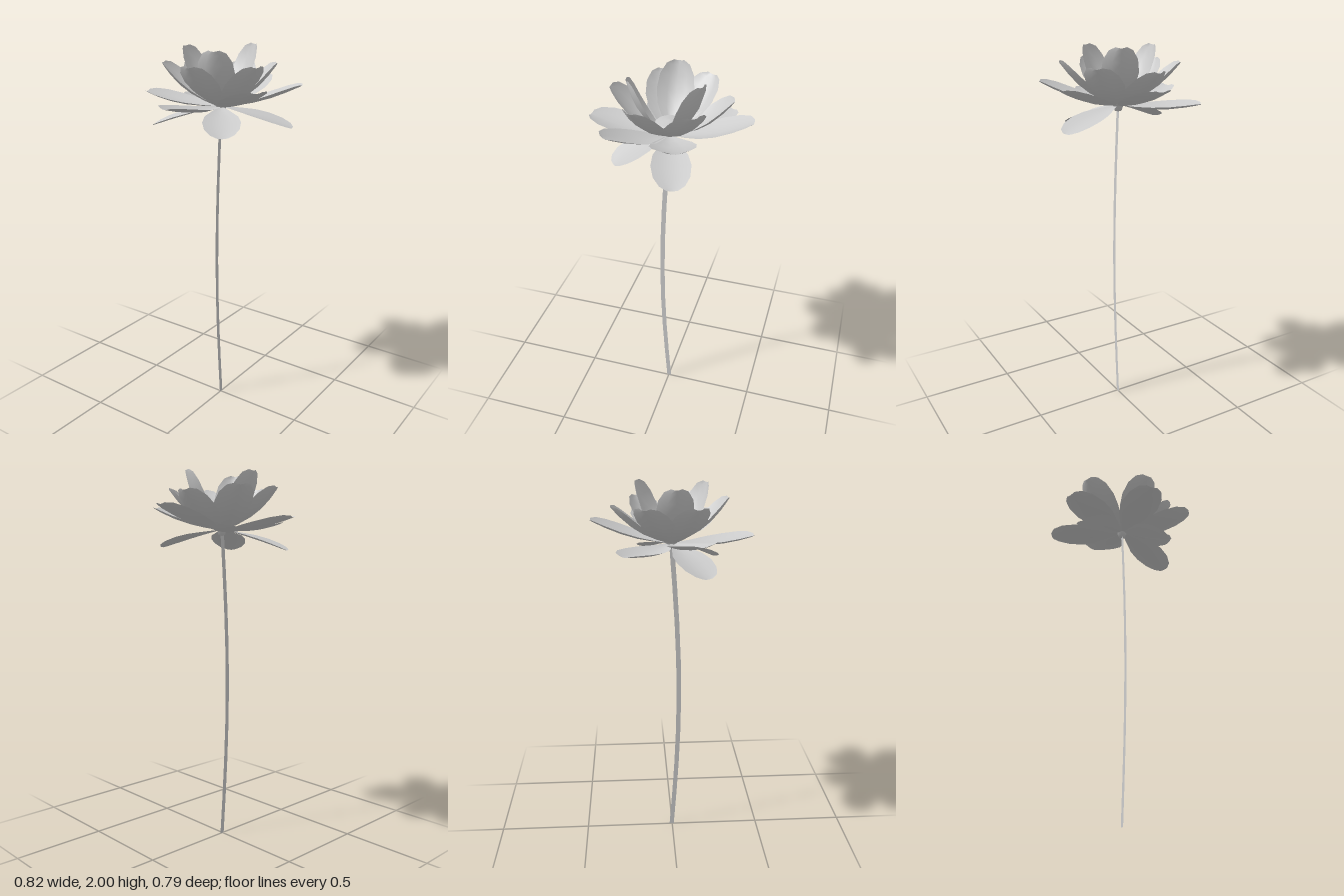
import * as THREE from 'three';

const material = new THREE.MeshStandardMaterial({ color: 0xcccccc, side: THREE.DoubleSide });

// Petal outline: fraction of length, fraction of full half-width
const OUTLINE = [[0, 0.12], [0.2, 0.5], [0.4, 0.87], [0.6, 1], [0.8, 0.9], [0.94, 0.62], [1, 0.28]];
const COLUMNS = 4;

// Cupped petal from the flower base to a tip point; sag bows it outward
function makePetal(name, [x, y, z], halfWidth, sag, cup) {
  const heading = new THREE.Vector3(x, 0, z).normalize();
  const root = heading.clone().multiplyScalar(0.015).setY(1.69);
  const along = new THREE.Vector3(x, y, z).sub(root);
  const side = new THREE.Vector3(heading.z, 0, -heading.x);
  const normal = along.clone().normalize().cross(side).normalize();
  const positions = [], index = [];
  OUTLINE.forEach(([t, w], row) => {
    for (let c = 0; c <= COLUMNS; c++) {
      const s = (c / COLUMNS) * 2 - 1;
      const lift = cup * s * s * w - sag * Math.sin(Math.PI * t);
      const p = root.clone().addScaledVector(along, t)
        .addScaledVector(side, s * w * halfWidth)
        .addScaledVector(normal, lift);
      positions.push(p.x, p.y, p.z);
      if (row && c) {
        const d = row * (COLUMNS + 1) + c, b = d - COLUMNS - 1;
        index.push(b - 1, b, d, b - 1, d, d - 1);
      }
    }
  });
  const geometry = new THREE.BufferGeometry();
  geometry.setAttribute('position', new THREE.Float32BufferAttribute(positions, 3));
  geometry.setIndex(index);
  geometry.computeVertexNormals();
  const mesh = new THREE.Mesh(geometry, material);
  mesh.name = name;
  return mesh;
}

// Whorls of petals, each listed by tip position
const WHORLS = [
  { name: 'droopingPetal', halfWidth: 0.095, sag: -0.005, cup: 0.015,
    tips: [[0.12, 1.6, 0.35], [-0.23, 1.585, 0.17], [-0.15, 1.585, -0.32]] },
  { name: 'outerPetal', halfWidth: 0.108, sag: 0.02, cup: 0.025,
    tips: [[-0.12, 1.75, -0.385], [0.24, 1.7, -0.345], [0.41, 1.81, 0.005],
      [0.145, 1.81, 0.385], [-0.2, 1.81, 0.34], [-0.41, 1.73, -0.03]] },
  { name: 'middlePetal', halfWidth: 0.1, sag: 0.03, cup: 0.035,
    tips: [[-0.11, 1.9, -0.285], [0.145, 1.9, -0.28], [0.305, 1.88, -0.05],
      [0.18, 1.9, 0.22], [-0.1, 1.91, 0.275], [-0.285, 1.91, 0.015]] },
  { name: 'innerPetal', halfWidth: 0.093, sag: 0.035, cup: 0.035,
    tips: [[-0.01, 1.98, -0.215], [0.18, 1.99, 0.085], [-0.18, 1.98, 0.085]] },
];

export function createModel() {
  const group = new THREE.Group();

  // Flat, gently bowed stem
  const stemGeometry = new THREE.PlaneGeometry(0.025, 1.69, 1, 8).translate(0, 0.845, 0);
  const position = stemGeometry.attributes.position;
  for (let i = 0; i < position.count; i++) {
    const bow = Math.sin((Math.PI * position.getY(i)) / 1.69);
    position.setX(i, position.getX(i) + 0.003 - 0.04 * bow);
  }
  const stem = new THREE.Mesh(stemGeometry, material);
  stem.name = 'stem';
  group.add(stem);

  // Seed head with a domed top and a small knob beneath
  const profile = [[0, 1.66], [0.018, 1.665], [0.024, 1.685], [0.045, 1.71], [0.075, 1.745],
    [0.072, 1.757], [0.062, 1.764], [0, 1.77]].map(([r, y]) => new THREE.Vector2(r, y));
  const seedHead = new THREE.Mesh(new THREE.LatheGeometry(profile, 12), material);
  seedHead.name = 'seedHead';
  seedHead.position.x = 0.005;
  group.add(seedHead);

  // Petals
  for (const { name, halfWidth, sag, cup, tips } of WHORLS) {
    const whorl = new THREE.Group();
    whorl.name = name + 's';
    tips.forEach((tip) => whorl.add(makePetal(name, tip, halfWidth, sag, cup)));
    group.add(whorl);
  }
  return group;
}
